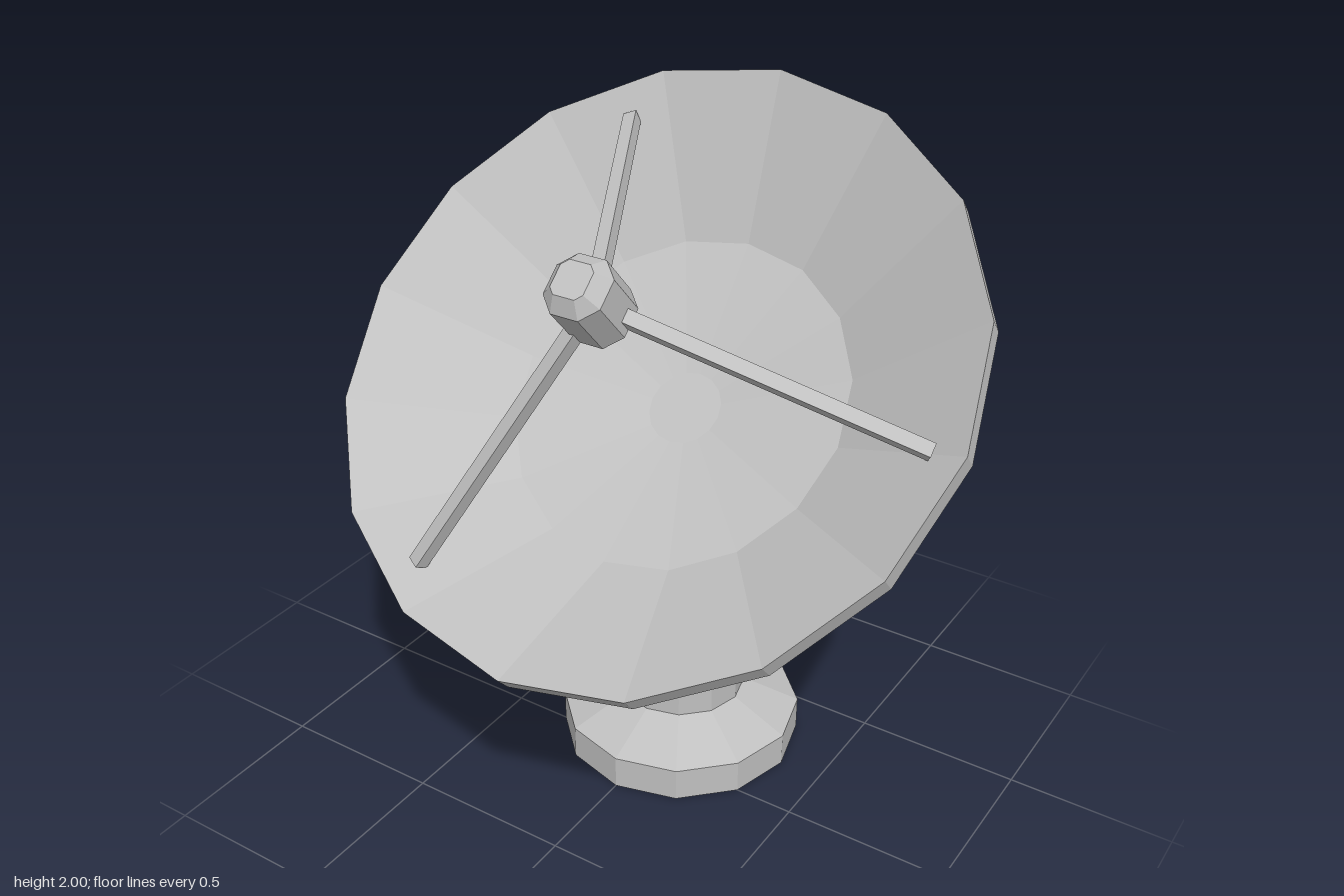
import * as THREE from 'three';
import { ConvexGeometry } from 'three/addons/geometries/ConvexGeometry.js';

const gray = new THREE.MeshStandardMaterial({ color: 0xc0c0c0 });
gray.name = 'light gray';

// Mesh with one normal per face
function flatMesh(name, geometry) {
  const g = geometry.index ? geometry.toNonIndexed() : geometry;
  g.computeVertexNormals();
  const mesh = new THREE.Mesh(g, gray);
  mesh.name = name;
  return mesh;
}

function lathe(profile, sides) {
  return new THREE.LatheGeometry(profile.map(([r, y]) => new THREE.Vector2(r, y)), sides);
}

// Block with cut corners; each ring is [y, half width, half depth, corner cut]
function chamferedBlock(rings) {
  const points = [];
  for (const [y, hx, hz, cut] of rings) {
    for (const sx of [-1, 1]) for (const sz of [-1, 1]) {
      points.push(new THREE.Vector3(sx * (hx - cut), y, sz * hz));
      points.push(new THREE.Vector3(sx * hx, y, sz * (hz - cut)));
    }
  }
  return new ConvexGeometry(points);
}

export function createModel() {
  const model = new THREE.Group();
  model.name = 'satelliteDish';

  // Pedestal: foot, sloped collar and column, with the mounting head on top
  const stand = new THREE.Group();
  stand.name = 'stand';
  stand.position.z = -0.185;
  stand.add(flatMesh('pedestal', lathe(
    [[0, 0], [0.37, 0], [0.37, 0.105], [0.198, 0.183], [0.198, 0.655], [0, 0.655]], 12)));
  stand.add(flatMesh('mountHead', chamferedBlock([
    [0.53, 0.195, 0.125, 0.025],
    [0.597, 0.257, 0.185, 0.065],
    [0.78, 0.257, 0.185, 0.065],
    [0.842, 0.195, 0.125, 0.025],
  ])));
  model.add(stand);

  // Everything on the tilted axis of the reflector
  const dish = new THREE.Group();
  dish.name = 'dish';
  dish.position.set(0, 1.37, 0.02);
  dish.rotation.x = THREE.MathUtils.degToRad(42);
  model.add(dish);

  // Reflector bowl: back, rim, then inner surface
  dish.add(flatMesh('reflector', lathe([
    [0, -0.425], [0.12, -0.425], [0.676, -0.284], [0.94, -0.062],
    [0.94, 0], [0.51, -0.25], [0.11, -0.31], [0, -0.31],
  ], 16)));

  // Receiver at the focus
  dish.add(flatMesh('receiver', chamferedBlock([
    [0.262, 0.055, 0.055, 0.02],
    [0.29, 0.087, 0.087, 0.045],
    [0.448, 0.087, 0.087, 0.045],
    [0.488, 0.05, 0.05, 0.018],
  ])));

  // Three struts from the receiver to the bowl
  const inner = new THREE.Vector2(0.04, 0.335);
  const outer = new THREE.Vector2(0.835, -0.045);
  const span = outer.clone().sub(inner);
  for (let i = 0; i < 3; i++) {
    const arm = new THREE.Group();
    arm.name = 'strut' + (i + 1);
    arm.rotation.y = (i * Math.PI * 2) / 3;
    const bar = flatMesh('strutBar', new THREE.BoxGeometry(span.length(), 0.04, 0.04));
    bar.position.set((inner.x + outer.x) / 2, (inner.y + outer.y) / 2, 0);
    bar.rotation.z = span.angle();
    arm.add(bar);
    dish.add(arm);
  }
  return model;
}
